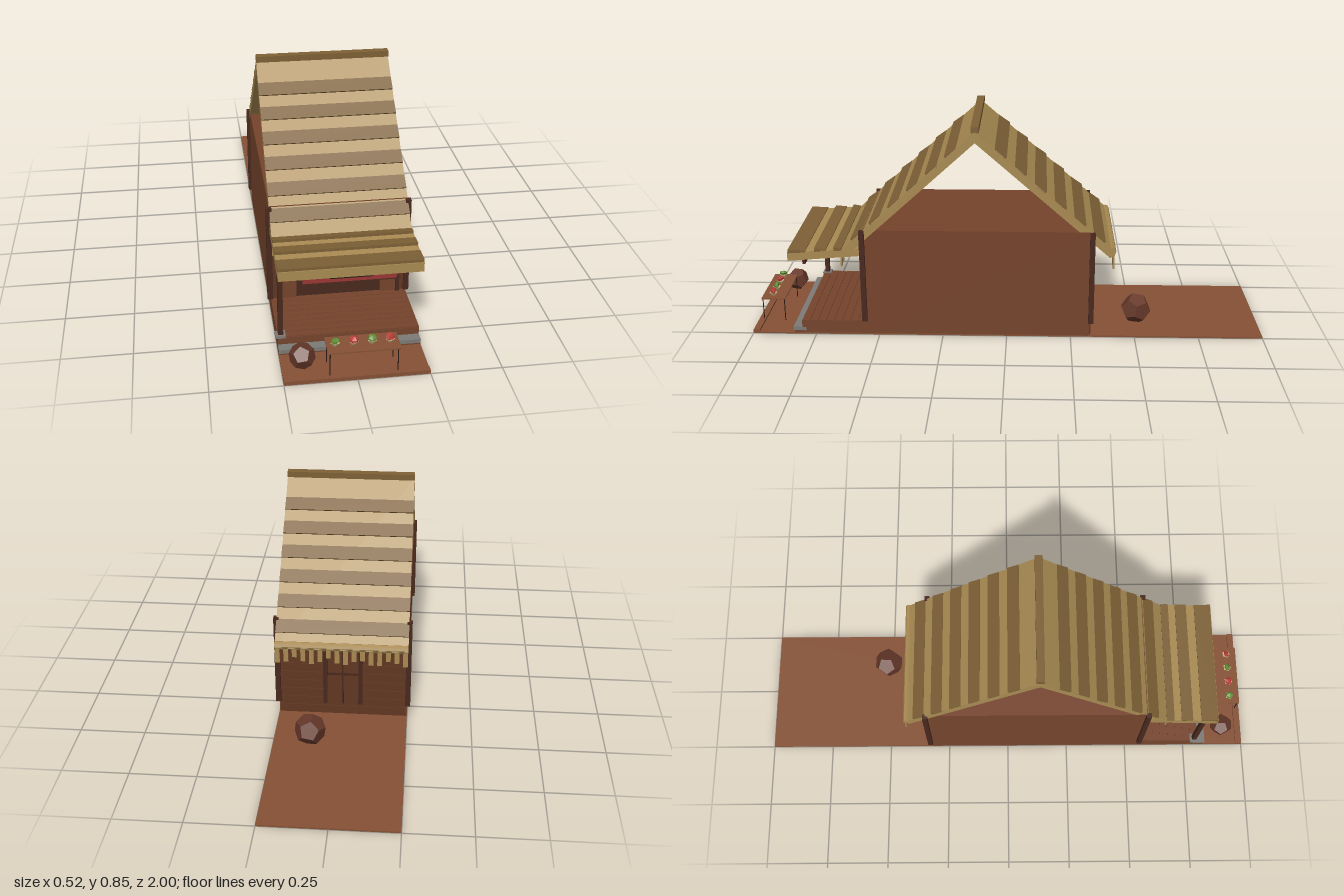
import * as THREE from 'three';

const mat = (color, side = THREE.FrontSide) =>
  new THREE.MeshStandardMaterial({ color, flatShading: true, side });
const M = {
  thatch: mat(0xa88a52, THREE.DoubleSide), thatchDark: mat(0x7d6036), wall: mat(0x75442c), plank: mat(0x613622),
  post: mat(0x47281d), ground: mat(0x855034), stone: mat(0x7c7a76), red: mat(0x9a3634),
  line: mat(0x2a1813), pot: mat(0x66382a), green: mat(0x5f8a32), fruit: mat(0xb83a35), tan: mat(0xc8b080),
};

export function createModel() {
  const root = new THREE.Group();
  const add = (name, geo, m, parent = root) => {
    const mesh = new THREE.Mesh(geo, m);
    mesh.name = name;
    parent.add(mesh);
    return mesh;
  };
  const group = (name) => {
    const g = new THREE.Group();
    g.name = name;
    root.add(g);
    return g;
  };
  // box given by its extents on each axis
  const box = (name, x0, x1, y0, y1, z0, z1, m, parent) => {
    const b = add(name, new THREE.BoxGeometry(x1 - x0, y1 - y0, z1 - z0), m, parent);
    b.position.set((x0 + x1) / 2, (y0 + y1) / 2, (z0 + z1) / 2);
    return b;
  };
  // side profile of [z, y] points carried across the whole width
  const prism = (name, pts, m, parent, w = 0.5) => {
    const s = new THREE.Shape(pts.map((p) => new THREE.Vector2(p[0], p[1])));
    const g = new THREE.ExtrudeGeometry(s, { depth: w, bevelEnabled: false });
    g.translate(0, 0, -w / 2).rotateY(-Math.PI / 2);
    return add(name, g, m, parent);
  };

  // ground strip with a low front kerb
  box('ground', -0.25, 0.25, 0, 0.006, -1, 1, M.ground);
  box('groundKerb', -0.25, 0.25, 0.006, 0.014, 0.975, 1, M.ground);

  // house body
  box('houseBody', -0.25, 0.25, 0.004, 0.437, -0.322, 0.55, M.wall);
  const posts = group('cornerPosts');
  for (const s of [-1, 1]) for (const z of [-0.328, 0.555]) {
    const y0 = 0.06, x = s * 0.252;
    box('cornerPost', x - 0.01, x + 0.01, y0, 0.435, z - 0.01, z + 0.01, M.post, posts);
  }

  // front wall: dark doorway, sliding panels, boarded ends
  const front = group('frontWall');
  box('doorway', -0.155, 0.155, 0.058, 0.31, 0.55, 0.553, M.post, front);
  for (const s of [-1, 1]) {
    const b = (n, a, c, y0, y1, z1, m) =>
      box(n, Math.min(s * a, s * c), Math.max(s * a, s * c), y0, y1, 0.55, z1, m, front);
    b('slidingPanel', 0.155, 0.212, 0.058, 0.32, 0.56, M.wall);
    b('panelRail', 0.16, 0.205, 0.204, 0.207, 0.562, M.line);
    b('doorPost', 0.212, 0.226, 0.058, 0.32, 0.568, M.post);
    for (let i = 0; i < 8; i++)
      b('endBoard', 0.226, 0.245, 0.06 + i * 0.033, 0.09 + i * 0.033, 0.558, M.plank);
  }
  box('lintel', -0.25, 0.25, 0.315, 0.335, 0.55, 0.568, M.post, front);

  // back wall: horizontal boards and a framed double door
  const back = group('backWall');
  for (let i = 0; i < 10; i++)
    box('wallBoard', -0.245, 0.245, 0.008 + i * 0.038, 0.043 + i * 0.038, -0.328, -0.322, M.plank, back);
  box('door', -0.065, 0.065, 0.06, 0.32, -0.331, -0.322, M.plank, back);
  for (const x of [-0.068, 0, 0.068]) {
    const w = x ? 0.008 : 0.003;
    box('doorFrame', x - w, x + w, 0.06, 0.33, -0.338, -0.322, M.post, back);
  }
  for (const y of [0.19, 0.325])
    box('doorRail', -0.065, 0.065, y, y + 0.008, -0.335, -0.322, M.post, back);

  // main roof: two slopes of overlapping thatch courses
  const roof = group('mainRoof');
  const ridge = [0.118, 0.828];
  for (const [ze, ye] of [[0.635, 0.357], [-0.418, 0.355]]) {
    const s = Math.sign(ze), t = 0.043;
    prism('roofSlope', [ridge, [ze, ye], [ze - s * 0.022, ye - 0.022], [ridge[0], ridge[1] - t]], M.thatch, roof);
    const d = new THREE.Vector2(ze - ridge[0], ye - ridge[1]).normalize();
    const n = [s * -d.y, Math.abs(d.x)];
    const at = (y, h) => [ridge[0] + (y - ridge[1]) * d.x / d.y + n[0] * h, y + n[1] * h];
    for (let i = 0; i < 6; i++) {
      const y = 0.727 - i * 0.0665;
      prism('thatchCourse', [at(y + 0.036, 0.001), at(y, 0.007), at(y, -0.004), at(y + 0.036, -0.004)], M.thatchDark, roof);
    }
  }
  box('ridgeCap', -0.25, 0.25, 0.822, 0.845, 0.103, 0.133, M.thatchDark, roof);
  const eave = add('eaveRoll', new THREE.CylinderGeometry(0.015, 0.015, 0.5, 8).rotateZ(Math.PI / 2), M.thatch, roof);
  eave.position.set(0, 0.36, -0.404);

  // ragged fringe under both eaves
  const fringe = group('eaveFringe');
  for (const z of [-0.41, 0.637]) for (let i = 0; i < 16; i++) {
    const x = -0.24 + i * 0.032, len = 0.035 + 0.03 * Math.abs(Math.sin(i * 2.3 + 1.4));
    box('fringeStrip', x - 0.009, x + 0.009, 0.352 - len, 0.352, z - 0.003, z + 0.003, M.thatch, fringe);
  }

  // porch roof with lapped strips
  const porch = group('porch');
  prism('porchRoof', [[0.845, 0.309], [0.845, 0.344], [0.56, 0.362], [0.56, 0.332]], M.thatch, porch);
  for (const [z0, z1] of [[0.775, 0.842], [0.695, 0.74], [0.635, 0.665]]) {
    const y = (z) => 0.344 + (0.845 - z) * 0.063;
    prism('porchCourse', [[z0, y(z0) - 0.004], [z1, y(z1) - 0.004], [z1, y(z1) + 0.011], [z0, y(z0) + 0.004]], M.thatchDark, porch);
  }
  box('porchPost', -0.248, -0.23, 0.062, 0.32, 0.781, 0.799, M.post, porch);
  box('postFooting', -0.258, -0.222, 0.054, 0.064, 0.772, 0.808, M.stone, porch);

  // deck and stone step
  box('deck', -0.25, 0.25, 0.004, 0.056, 0.55, 0.805, M.wall, porch);
  for (let i = 0; i < 8; i++)
    box('deckBoard', -0.25, 0.25, 0.055, 0.059, 0.552 + i * 0.0317, 0.581 + i * 0.0317, M.wall, porch);
  box('stoneStep', -0.25, 0.25, 0.014, 0.029, 0.79, 0.84, M.stone, porch);
  box('stepBase', -0.25, 0.25, 0.004, 0.014, 0.79, 0.835, M.wall, porch);

  // hanging signboard
  const sign = group('signboard');
  box('signFrame', -0.17, 0.17, 0.263, 0.318, 0.795, 0.805, M.post, sign);
  box('signPanel', -0.163, 0.163, 0.269, 0.314, 0.798, 0.808, M.red, sign);
  box('signStripe', -0.115, 0.11, 0.299, 0.301, 0.8, 0.81, M.line, sign);
  box('signStripe', -0.07, 0.08, 0.283, 0.286, 0.8, 0.81, M.line, sign);

  // thin market table with heaps of produce
  const table = group('marketTable');
  box('tableTop', -0.1, 0.15, 0.1, 0.104, 0.89, 0.986, M.ground, table);
  for (const x of [-0.092, 0.14]) for (const z of [0.896, 0.982])
    box('tableLeg', x - 0.0015, x + 0.0015, 0.005, 0.1, z - 0.0015, z + 0.0015, M.line, table);
  [-0.07, -0.006, 0.057, 0.118].forEach((x, i) => {
    const base = add('produceTray', new THREE.CylinderGeometry(0.017, 0.009, 0.012, 5), M.tan, table);
    base.position.set(x, 0.111, 0.943);
    const heap = add('produce', new THREE.IcosahedronGeometry(0.017, 0), i % 2 ? M.fruit : M.green, table);
    heap.scale.y = 0.6;
    heap.rotation.set(0.3 * i, 0.8 * i, 0.35);
    heap.position.set(x, 0.123, 0.943);
  });

  // faceted jars, front and back
  for (const [x, y, z, r] of [[-0.178, 0.051, 0.91, 0.047], [0.11, 0.062, -0.515, 0.061]]) {
    const jar = add('jar', new THREE.DodecahedronGeometry(r, 0), M.pot);
    jar.position.set(x, y, z);
    jar.rotation.set(0.15, 0.5, 0.55);
  }
  return root;
}
